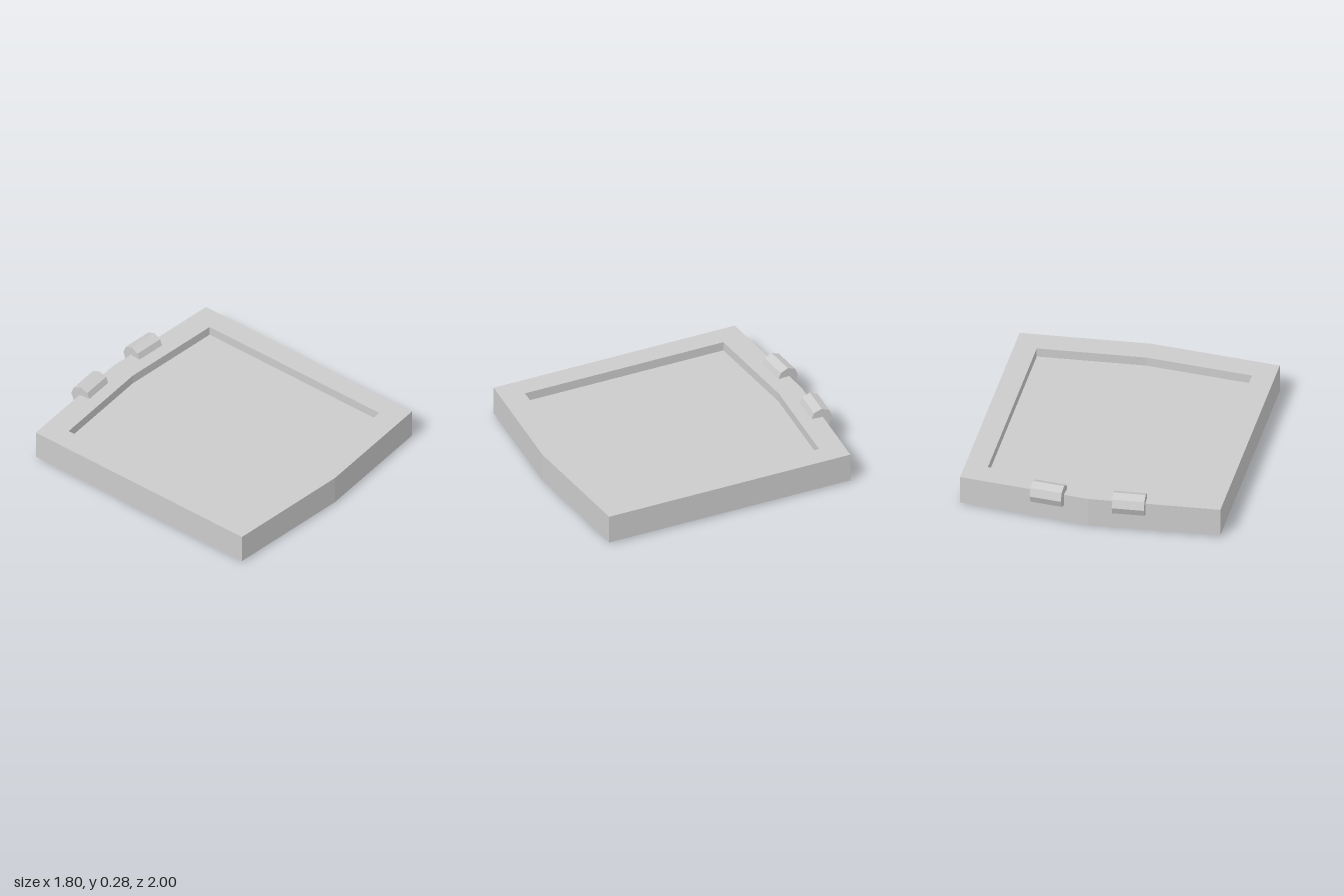
import * as THREE from 'three';

const material = new THREE.MeshStandardMaterial({ color: 0xcccccc, flatShading: true });

// Six-sided outline with a shallow peak at the back and at the front, counter-clockwise from above
function outline(halfWidth, backCorner, backPeak, frontCorner, frontPeak, y) {
  return [
    [0, y, backPeak], [-halfWidth, y, backCorner], [-halfWidth, y, frontCorner],
    [0, y, frontPeak], [halfWidth, y, frontCorner], [halfWidth, y, backCorner],
  ];
}

// Skins a stack of equal loops and closes both ends with fans
function skinLoops(loops) {
  const n = loops[0].length;
  const index = [];
  for (let k = 0; k < loops.length - 1; k++) {
    for (let i = 0; i < n; i++) {
      const a = k * n + i, b = k * n + (i + 1) % n;
      index.push(a, b, b + n, a, b + n, a + n);
    }
  }
  const last = (loops.length - 1) * n;
  for (let i = 1; i < n - 1; i++) {
    index.push(0, i + 1, i);
    index.push(last, last + i, last + i + 1);
  }
  const geometry = new THREE.BufferGeometry();
  geometry.setAttribute('position', new THREE.Float32BufferAttribute(loops.flat(2), 3));
  geometry.setIndex(index);
  const flat = geometry.toNonIndexed();
  flat.computeVertexNormals();
  return flat;
}

export function createModel() {
  const model = new THREE.Group();
  model.name = 'hingedPanel';

  // Tray: underside, outer walls, flat rim, recess walls and recessed floor
  const outer = y => outline(0.9, -0.875, -0.943, 0.93, 0.998, y);
  const inner = y => outline(0.745, -0.715, -0.772, 0.77, 0.825, y);
  const underside = outer(0.01);
  underside[0][1] = 0; // back peak dips slightly
  const tray = new THREE.Mesh(
    skinLoops([underside, outer(0.215), inner(0.215), inner(0.15)]), material);
  tray.name = 'tray';
  model.add(tray);

  // Two octagonal hinge barrels following the angled back edge
  for (const side of [-1, 1]) {
    const barrel = new THREE.CylinderGeometry(0.078, 0.078, 0.22, 8);
    barrel.rotateZ(Math.PI / 2);
    const hinge = new THREE.Mesh(barrel, material);
    hinge.name = side > 0 ? 'leftHinge' : 'rightHinge';
    hinge.position.set(side * 0.28, 0.202, -0.914);
    hinge.rotation.y = -side * 0.075;
    model.add(hinge);
  }
  return model;
}
